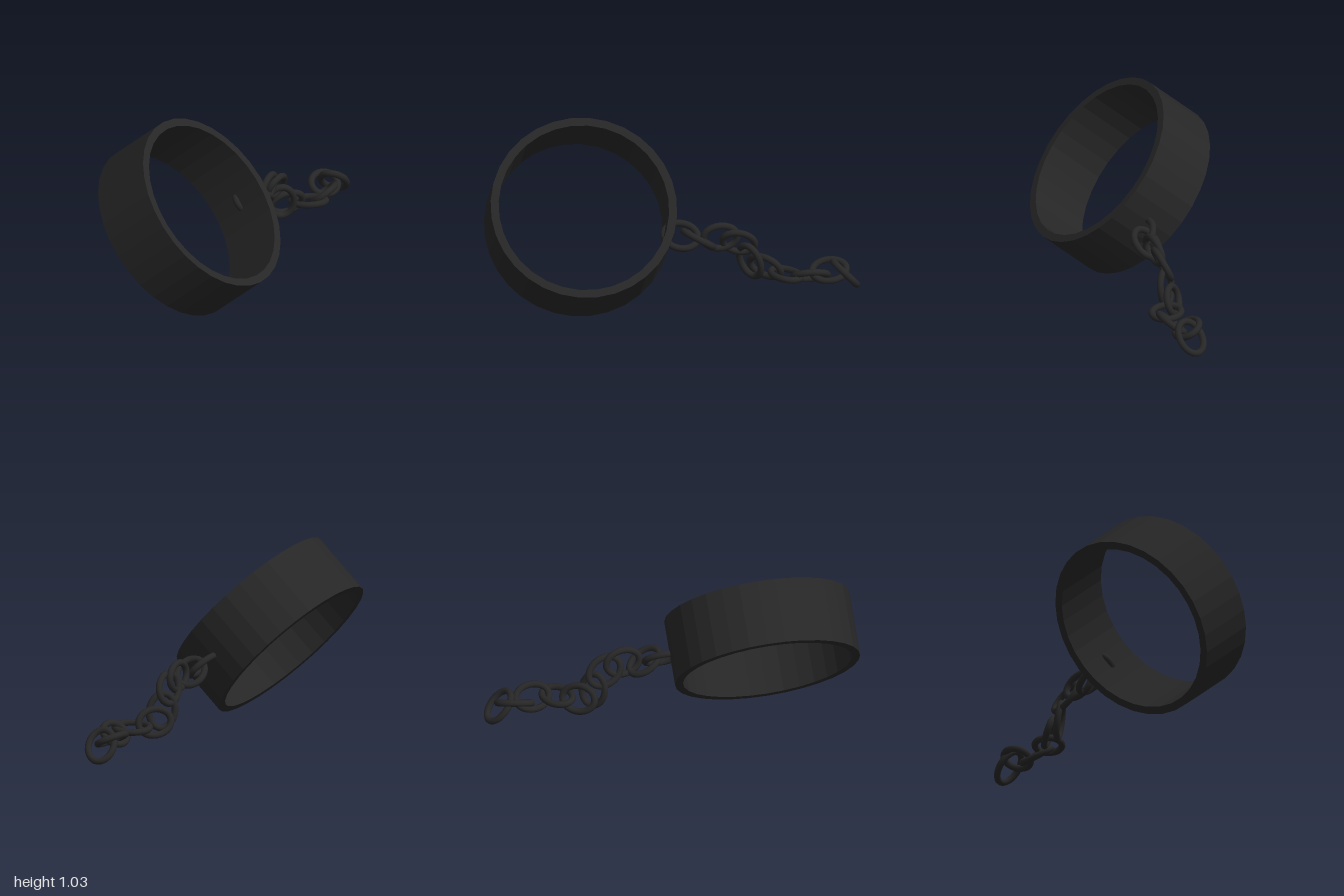
import * as THREE from 'three';

const iron = new THREE.MeshStandardMaterial({ color: 0x262626 });
iron.name = 'dark iron';
const ironFlat = new THREE.MeshStandardMaterial({ color: 0x262626, flatShading: true });
ironFlat.name = 'dark iron faceted';

const V = (a) => new THREE.Vector3(...a);

// Faceted band: closed rectangular profile turned about its own axis
function makeCuff() {
  const outer = 0.522, inner = 0.477, half = 0.184;
  const profile = [[inner, -half], [outer, -half], [outer, half], [inner, half], [inner, -half]]
    .map(([r, y]) => new THREE.Vector2(r, y));
  const cuff = new THREE.Mesh(new THREE.LatheGeometry(profile, 32), ironFlat);
  cuff.name = 'cuff';
  cuff.position.set(-0.075, 0.516, 0.45);
  cuff.quaternion.setFromUnitVectors(V([0, 1, 0]), V([0.734, 0.652, 0.19]).normalize());
  return cuff;
}

// Oval link, long along local x, short along local y
function makeLinkGeometry() {
  const points = [];
  for (let i = 0; i < 16; i++) {
    const a = (i / 16) * Math.PI * 2;
    points.push(new THREE.Vector3(0.097 * Math.cos(a), 0.073 * Math.sin(a), 0));
  }
  return new THREE.TubeGeometry(new THREE.CatmullRomCurve3(points, true), 32, 0.019, 10, true);
}

// Each link: centre, long direction, short direction
const LINKS = [
  [[0.147, 0.407, -0.062], [0.39, -0.19, -0.9], [-0.55, 0.735, -0.394]],
  [[0.19, 0.39, -0.15], [0.15, -0.55, -0.83], [0.97, 0.2, 0.05]],
  [[0.225, 0.397, -0.267], [0.15, -0.1, -0.98], [0.15, 0.98, -0.08]],
  [[0.245, 0.355, -0.37], [0.05, -0.5, -0.85], [0.5, 0.75, -0.42]],
  [[0.265, 0.24, -0.43], [0.1, -0.95, -0.25], [0.85, 0.2, -0.45]],
  [[0.28, 0.197, -0.515], [0.75, -0.1, -0.65], [0.3, 0.9, 0.2]],
  [[0.385, 0.18, -0.595], [0.95, 0, -0.3], [0.3, 0.1, 0.95]],
  [[0.445, 0.175, -0.72], [0.1, -0.1, -1], [0.78, 0.6, 0]],
  [[0.425, 0.18, -0.84], [0.3, 0.1, -0.95], [0.85, -0.5, 0.2]],
  [[0.46, 0.163, -0.92], [0, -0.75, -0.66], [1, 0, 0]],
];

function makeChain() {
  const chain = new THREE.Group();
  chain.name = 'chain';
  const geometry = makeLinkGeometry();
  LINKS.forEach(([centre, long, short], i) => {
    const x = V(long).normalize();
    const z = x.clone().cross(V(short)).normalize();
    const y = z.clone().cross(x);
    const link = new THREE.Mesh(geometry, iron);
    link.name = `chainLink${i + 1}`;
    link.position.set(...centre);
    link.quaternion.setFromRotationMatrix(new THREE.Matrix4().makeBasis(x, y, z));
    chain.add(link);
  });
  return chain;
}

export function createModel() {
  const model = new THREE.Group();
  model.name = 'shackle';
  model.add(makeCuff(), makeChain());
  return model;
}
